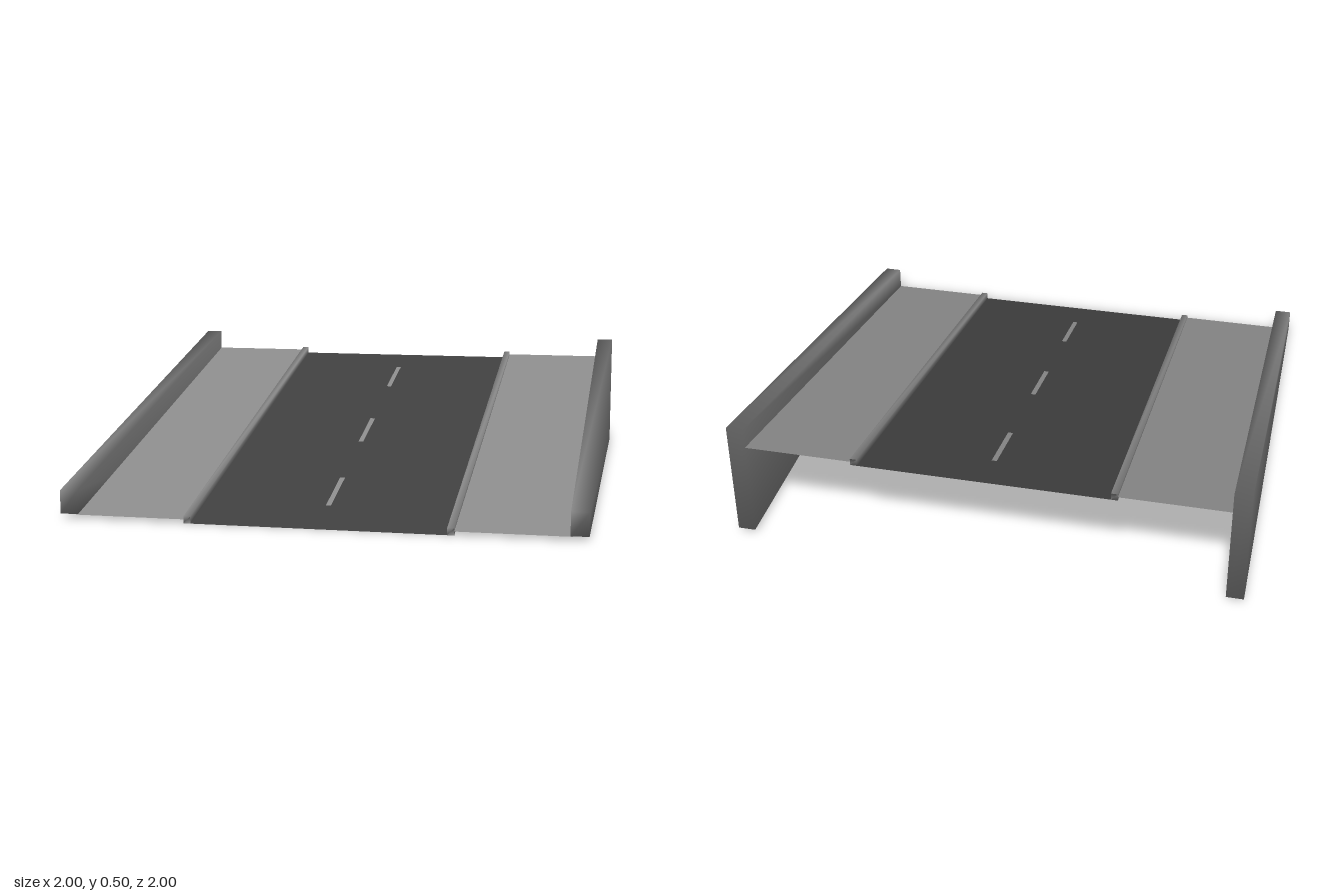
import * as THREE from 'three';

const concrete = new THREE.MeshStandardMaterial({ color: 0x8c8c8c, side: THREE.DoubleSide });
concrete.name = 'concrete grey';
const asphalt = new THREE.MeshStandardMaterial({ color: 0x404040, side: THREE.DoubleSide });
asphalt.name = 'asphalt grey';

// Height of the road surface at depth z
const slope = (z) => 0.2 * (1 - z);

// Flat sheet lying on the slope, raised by lift
function sheet(name, x0, x1, z0, z1, lift, material) {
  const g = new THREE.PlaneGeometry(x1 - x0, z1 - z0);
  g.rotateX(-Math.PI / 2);
  g.translate((x0 + x1) / 2, 0, (z0 + z1) / 2);
  const p = g.attributes.position;
  for (let i = 0; i < p.count; i++) p.setY(i, slope(p.getZ(i)) + lift);
  g.computeVertexNormals();
  const mesh = new THREE.Mesh(g, material);
  mesh.name = name;
  return mesh;
}

// Long bar with its own bottom and top heights at each end and softly shared normals
function bar(name, x0, x1, bottom, top) {
  const pts = [];
  for (const z of [1, -1]) {
    pts.push(x0, bottom(z), z, x1, bottom(z), z, x1, top(z), z, x0, top(z), z);
  }
  const index = [0, 1, 2, 0, 2, 3, 5, 4, 7, 5, 7, 6];
  for (let i = 0; i < 4; i++) {
    const j = (i + 1) % 4;
    index.push(i, i + 4, j, j, i + 4, j + 4);
  }
  const g = new THREE.BufferGeometry();
  g.setAttribute('position', new THREE.Float32BufferAttribute(pts, 3));
  g.setIndex(index);
  g.computeVertexNormals();
  const mesh = new THREE.Mesh(g, concrete);
  mesh.name = name;
  return mesh;
}

export function createModel() {
  const ramp = new THREE.Group();
  ramp.name = 'roadRamp';

  // Roadway with centre line dashes
  ramp.add(sheet('roadway', -0.49, 0.49, -1, 1, 0, asphalt));
  for (const z of [-0.675, 0.005, 0.66]) {
    ramp.add(sheet('laneDash', -0.01, 0.01, z - 0.135, z + 0.135, 0.003, concrete));
  }

  // Pavement, kerb and side wall on each side
  for (const [side, s] of [['left', 1], ['right', -1]]) {
    const span = (a, b) => (s > 0 ? [a, b] : [-b, -a]);
    ramp.add(sheet(side + 'Pavement', ...span(0.505, 0.94), -1, 1, 0.015, concrete));
    ramp.add(bar(side + 'Kerb', ...span(0.486, 0.512), slope, (z) => slope(z) + 0.028));
    ramp.add(bar(side + 'Wall', ...span(0.932, 1), () => 0.017, (z) => 0.107 + 0.195 * (1 - z)));
  }
  return ramp;
}
